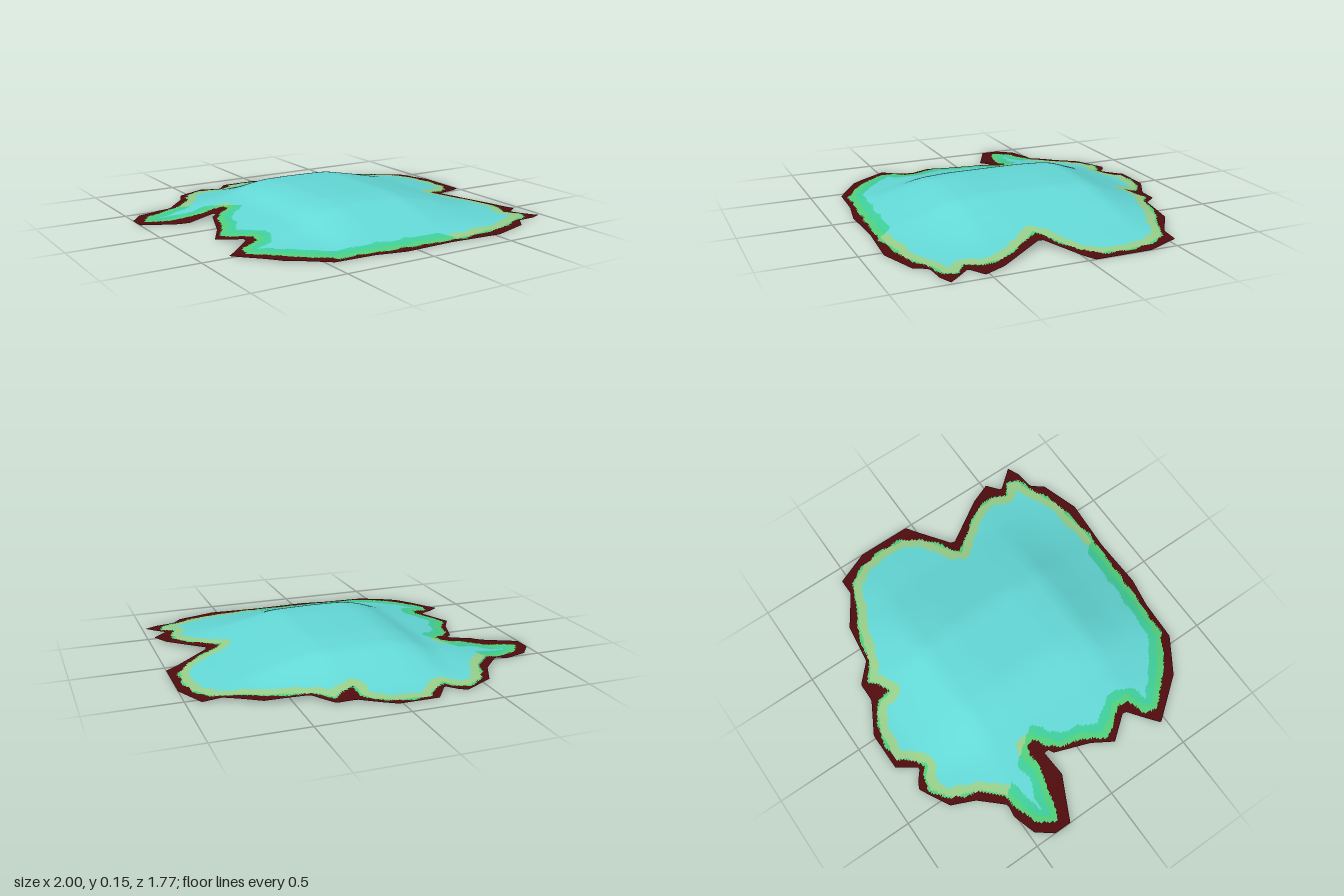
import * as THREE from 'three';

// Ragged outer edge of the sheet, as x, z pairs
const OUTLINE = pairs([
  -1, -.38, -.93, -.47, -.8, -.51, -.73, -.5, -.61, -.63, -.55, -.76, -.38, -.85, -.34, -.83, -.28, -.78,
  -.2, -.89, .02, -.89, .2, -.79, .31, -.79, .41, -.69, .64, -.66, .82, -.54, .92, -.54, 1, -.35, 1, -.04,
  .73, .13, .91, .4, .96, .52, .88, .58, .98, .7, .91, .73, .8, .74, .75, .81, .53, .88, .23, .86, -.06, .87,
  -.23, .84, -.46, .83, -.66, .7, -.84, .47, -.67, .33, -.78, .19, -.71, .07, -.64, -.13, -.56, -.18,
  -.76, -.16, -1, -.28,
]);

// Inner limit of the dark rim
const RIM = pairs([
  -.95, -.33, -.93, -.39, -.88, -.44, -.78, -.47, -.68, -.49, -.59, -.58, -.52, -.74, -.42, -.81, -.34, -.79,
  -.29, -.75, -.2, -.82, -.17, -.87, 0, -.86, .12, -.81, .17, -.76, .18, -.68, .24, -.71, .3, -.75, .38, -.69,
  .52, -.65, .62, -.62, .7, -.57, .78, -.54, .87, -.5, .94, -.38, .96, -.25, .95, -.1, .88, -.01, .8, .05,
  .68, .11, .66, .13, .72, .2, .8, .3, .86, .4, .87, .5, .83, .58, .9, .63, .88, .7, .78, .73, .68, .78,
  .6, .81, .45, .82, .35, .84, .1, .83, -.15, .82, -.42, .8, -.6, .67, -.77, .5, -.74, .42, -.64, .38,
  -.63, .32, -.69, .25, -.74, .16, -.7, .1, -.67, .05, -.64, -.08, -.57, -.15, -.52, -.19, -.53, -.23,
  -.58, -.25, -.68, -.24, -.8, -.28, -.9, -.3,
]);

// Height profiles across x and z; their product is the low mound
const ACROSS = pairs([-.8, 0, -.4, .5, -.28, .84, -.17, .98, 0, 1, .25, .97, .45, .68, .66, .34, .96, 0]);
const ALONG = pairs([-.87, 0, -.76, .08, -.6, .41, -.4, .92, -.2, 1, .24, 1, .4, .92, .6, .46, .83, 0]);

function pairs(a) {
  const out = [];
  for (let i = 0; i < a.length; i += 2) out.push([a[i], a[i + 1]]);
  return out;
}

function linear(profile, t) {
  if (t <= profile[0][0]) return profile[0][1];
  for (let i = 1; i < profile.length; i++) {
    const [a, ya] = profile[i - 1], [b, yb] = profile[i];
    if (t <= b) return ya + (yb - ya) * (t - a) / (b - a);
  }
  return profile[profile.length - 1][1];
}

// Profile with its corners softened
function soft(profile, t) {
  let sum = 0;
  for (let k = -3; k <= 3; k++) sum += linear(profile, t + k * .014);
  return sum / 7;
}

const height = (x, z) => .149 * soft(ACROSS, x) * soft(ALONG, z);

// Nearest point on a closed polygon, with signed distance (positive inside)
function probe(poly, x, z) {
  let best = Infinity, px = 0, pz = 0, inside = false;
  for (let i = 0, j = poly.length - 1; i < poly.length; j = i++) {
    const [ax, az] = poly[j], [bx, bz] = poly[i];
    const ux = bx - ax, uz = bz - az;
    const t = Math.min(1, Math.max(0, ((x - ax) * ux + (z - az) * uz) / (ux * ux + uz * uz)));
    const qx = ax + ux * t, qz = az + uz * t, d = Math.hypot(x - qx, z - qz);
    if (d < best) { best = d; px = qx; pz = qz; }
    if ((az > z) !== (bz > z) && x < ax + ux * (z - az) / uz) inside = !inside;
  }
  return { d: inside ? best : -best, x: px, z: pz };
}

const wobble = (x, z) => Math.sin(x * 41 + Math.sin(z * 23) * 2) * .6 + Math.sin(z * 47 + Math.sin(x * 29) * 2) * .6;

// Which colour band a spot belongs to
function band(x, z) {
  const n = wobble(x, z), d = probe(RIM, x, z).d + n * .006;
  if (d < 0) return 'rim';
  if (x - .75 * z > -.33) return d < .009 + n * .009 ? 'greenBand' : d < .058 ? 'paleBand' : 'centre';
  return d < .034 + n * .01 ? 'greenBand' : d < .08 ? 'tealBand' : 'centre';
}

export function createModel() {
  const colors = { rim: 0x500c0e, greenBand: 0x52d27a, paleBand: 0x98d08c, tealBand: 0x40d09c, centre: 0x64dad8 };
  const step = .0125, nx = 162, nz = 146, x0 = -1.0125, z0 = -.9125;
  const positions = [], inside = [];

  // Fine grid; points outside the edge are pulled onto it
  for (let j = 0; j <= nz; j++) for (let i = 0; i <= nx; i++) {
    let x = x0 + i * step, z = z0 + j * step;
    const p = probe(OUTLINE, x, z);
    inside.push(p.d > 0);
    if (p.d <= 0) { x = p.x; z = p.z; }
    positions.push(x, height(x, z), z);
  }

  // Sort triangles into colour bands
  const faces = {}, all = [];
  for (const name in colors) faces[name] = [];
  const addFace = (...t) => {
    if (!t.some(v => inside[v])) return;
    const mid = k => (positions[t[0] * 3 + k] + positions[t[1] * 3 + k] + positions[t[2] * 3 + k]) / 3;
    faces[band(mid(0), mid(2))].push(...t);
    all.push(...t);
  };
  for (let j = 0; j < nz; j++) for (let i = 0; i < nx; i++) {
    const a = j * (nx + 1) + i, b = a + nx + 1;
    addFace(a, b, b + 1);
    addFace(a, b + 1, a + 1);
  }

  // Shared smooth normals keep the bands seamless
  const sheet = new THREE.BufferGeometry();
  sheet.setAttribute('position', new THREE.Float32BufferAttribute(positions, 3));
  sheet.setIndex(all);
  sheet.computeVertexNormals();

  const group = new THREE.Group();
  group.name = 'moundSheet';
  for (const name in colors) {
    const geometry = new THREE.BufferGeometry();
    geometry.setAttribute('position', sheet.getAttribute('position'));
    geometry.setAttribute('normal', sheet.getAttribute('normal'));
    geometry.setIndex(faces[name]);
    const material = new THREE.MeshStandardMaterial({ color: colors[name], side: THREE.DoubleSide });
    material.name = name + 'Colour';
    const mesh = new THREE.Mesh(geometry, material);
    mesh.name = name;
    group.add(mesh);
  }
  return group;
}
